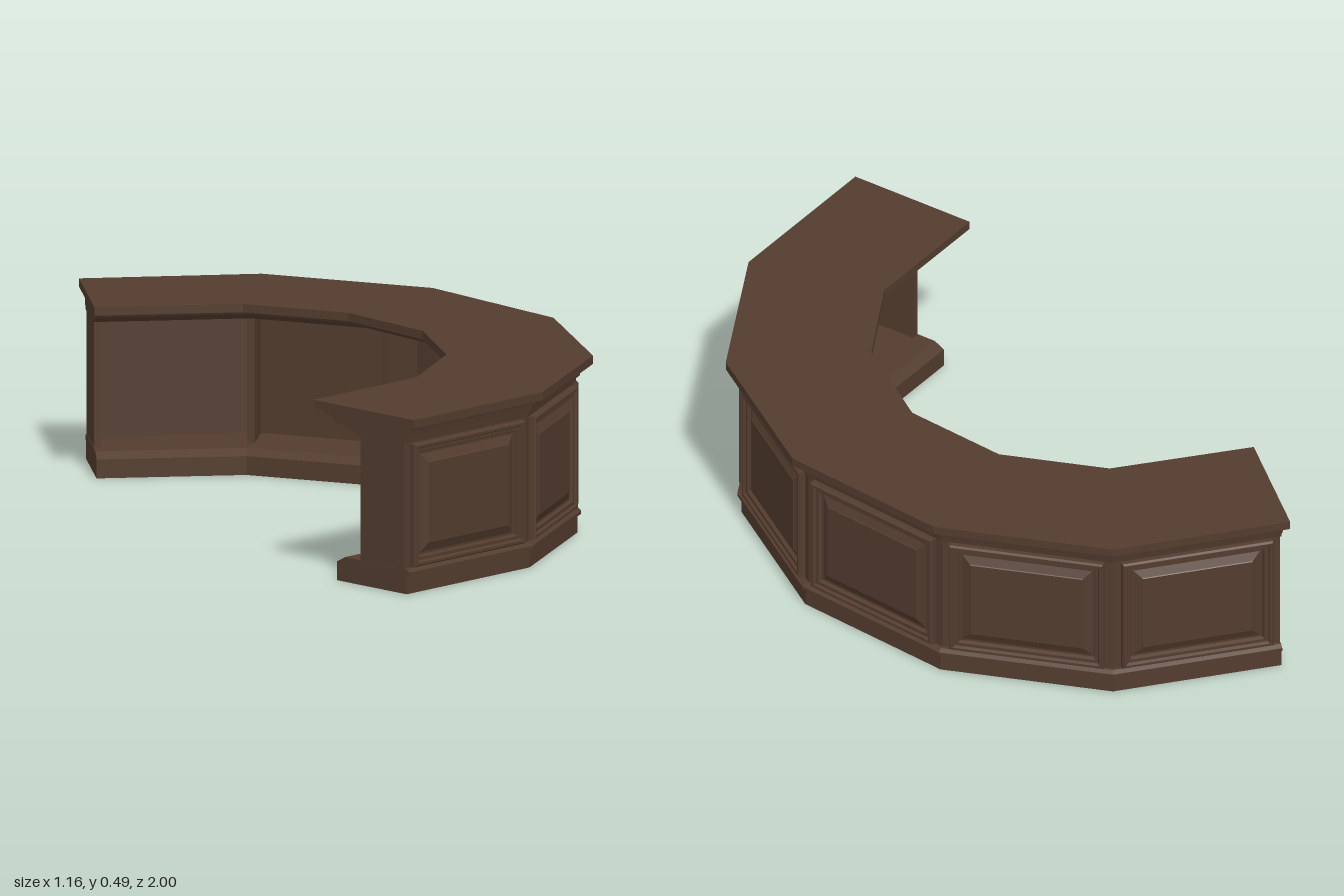
import * as THREE from 'three';

// Corner points of the counter top: outer edge and inner edge, [x, z]
const OUTER = [[-0.527, 0.995], [-0.03, 0.92], [0.363, 0.632], [0.577, 0.182], [0.555, -0.32], [0.303, -0.747], [-0.122, -1]];
const INNER = [[-0.58, 0.622], [-0.183, 0.562], [0.06, 0.38], [0.195, 0.1], [0.18, -0.207], [0.025, -0.47], [-0.317, -0.68]];
const WIDTH = 0.375;
const LAST = OUTER.length - 1;

// Point at corner i, a distance d in from the outer edge; end corners are pulled in by inset
function pointAt(i, d, y = 0, inset = 0) {
  const at = (k) => new THREE.Vector3(
    THREE.MathUtils.lerp(OUTER[k][0], INNER[k][0], d / WIDTH), y,
    THREE.MathUtils.lerp(OUTER[k][1], INNER[k][1], d / WIDTH));
  const p = at(i);
  if (inset && (i === 0 || i === LAST)) {
    const dir = at(i === 0 ? 1 : LAST - 1).sub(p).normalize();
    p.addScaledVector(dir, inset);
  }
  return p;
}

function geometryFrom(points) {
  const geometry = new THREE.BufferGeometry().setFromPoints(points);
  geometry.computeVertexNormals();
  return geometry;
}

// Sweep a closed [depth, height] section round the counter; it runs up the outside and down the inside
function sweep(section, inset) {
  const tri = [];
  const p = (i, j) => pointAt(i, section[j][0], section[j][1], inset);
  for (let i = 0; i < LAST; i++) {
    section.forEach((_, j) => {
      const k = (j + 1) % section.length;
      tri.push(p(i, j), p(i + 1, j), p(i + 1, k), p(i, j), p(i + 1, k), p(i, k));
    });
  }
  const contour = section.map(([d, y]) => new THREE.Vector2(d, y));
  for (const [a, b, c] of THREE.ShapeUtils.triangulateShape(contour, [])) {
    const ccw = THREE.ShapeUtils.area([contour[a], contour[b], contour[c]]) > 0;
    const [s, t] = ccw ? [c, b] : [b, c];
    tri.push(p(0, a), p(0, s), p(0, t), p(LAST, a), p(LAST, t), p(LAST, s));
  }
  return geometryFrom(tri);
}

// Moulded rectangular panel: nested rings of [inset, height], closed by a flat field
function mouldedPanel(w, h) {
  const rings = [[0, 0], [0, 0.014], [0.004, 0.02], [0.011, 0.02], [0.015, 0.012], [0.024, 0.012],
    [0.028, 0.002], [0.034, 0.002], [0.056, 0.012], [0.058, 0.014]].map(([inset, z]) => {
    const x = w / 2 - inset, y = h / 2 - inset;
    return [[-x, -y], [x, -y], [x, y], [-x, y]].map(([a, b]) => new THREE.Vector3(a, b, z));
  });
  const tri = [];
  for (let r = 0; r + 1 < rings.length; r++) {
    for (let j = 0; j < 4; j++) {
      const k = (j + 1) % 4, o = rings[r], n = rings[r + 1];
      tri.push(o[j], o[k], n[k], o[j], n[k], n[j]);
    }
  }
  const f = rings[rings.length - 1];
  tri.push(f[0], f[1], f[2], f[0], f[2], f[3]);
  return geometryFrom(tri);
}

export function createModel() {
  const group = new THREE.Group();
  const wood = new THREE.MeshStandardMaterial({ color: 0x533c2e });
  wood.name = 'darkWood';
  const add = (name, geometry) => {
    const mesh = new THREE.Mesh(geometry, wood);
    mesh.name = name;
    group.add(mesh);
    return mesh;
  };

  // Flat top, stepped cornice beneath it, thin front wall and plinth
  add('counterTop', sweep([[0, 0.464], [0, 0.487], [0.375, 0.487], [0.375, 0.464]], 0));
  add('cornice', sweep([[0.045, 0.413], [0.042, 0.43], [0.034, 0.432], [0.03, 0.45], [0.02, 0.452], [0.016, 0.464],
    [0.352, 0.464], [0.345, 0.452], [0.32, 0.45], [0.3, 0.432], [0.26, 0.43], [0.22, 0.413]], 0.012));
  add('frontWall', sweep([[0.05, 0.05], [0.05, 0.414], [0.08, 0.414], [0.08, 0.05]], 0.015));
  add('plinth', sweep([[0.04, 0], [0.04, 0.05], [0.03, 0.052], [0.03, 0.061], [0.042, 0.068],
    [0.27, 0.068], [0.3, 0.052], [0.3, 0]], 0.014));

  // Raised panel on each outer face
  for (let i = 0; i < LAST; i++) {
    const a = pointAt(i, 0.05, 0.24, 0.015), b = pointAt(i + 1, 0.05, 0.24, 0.015);
    const panel = add('raisedPanel', mouldedPanel(a.distanceTo(b) - 0.045, 0.338));
    panel.position.lerpVectors(a, b, 0.5);
    panel.rotation.y = Math.atan2(a.z - b.z, b.x - a.x);
  }

  // Upright dividers at the joints and boards closing both ends
  for (let i = 0; i <= LAST; i++) {
    const end = i === 0 || i === LAST;
    const a = pointAt(i, end ? 0.052 : 0.07, 0.24, 0.026), b = pointAt(i, 0.215, 0.24, 0.026);
    const board = add(end ? 'endBoard' : 'divider', new THREE.BoxGeometry(a.distanceTo(b), 0.35, 0.02));
    board.position.lerpVectors(a, b, 0.5);
    board.rotation.y = Math.atan2(a.z - b.z, b.x - a.x);
  }
  return group;
}
